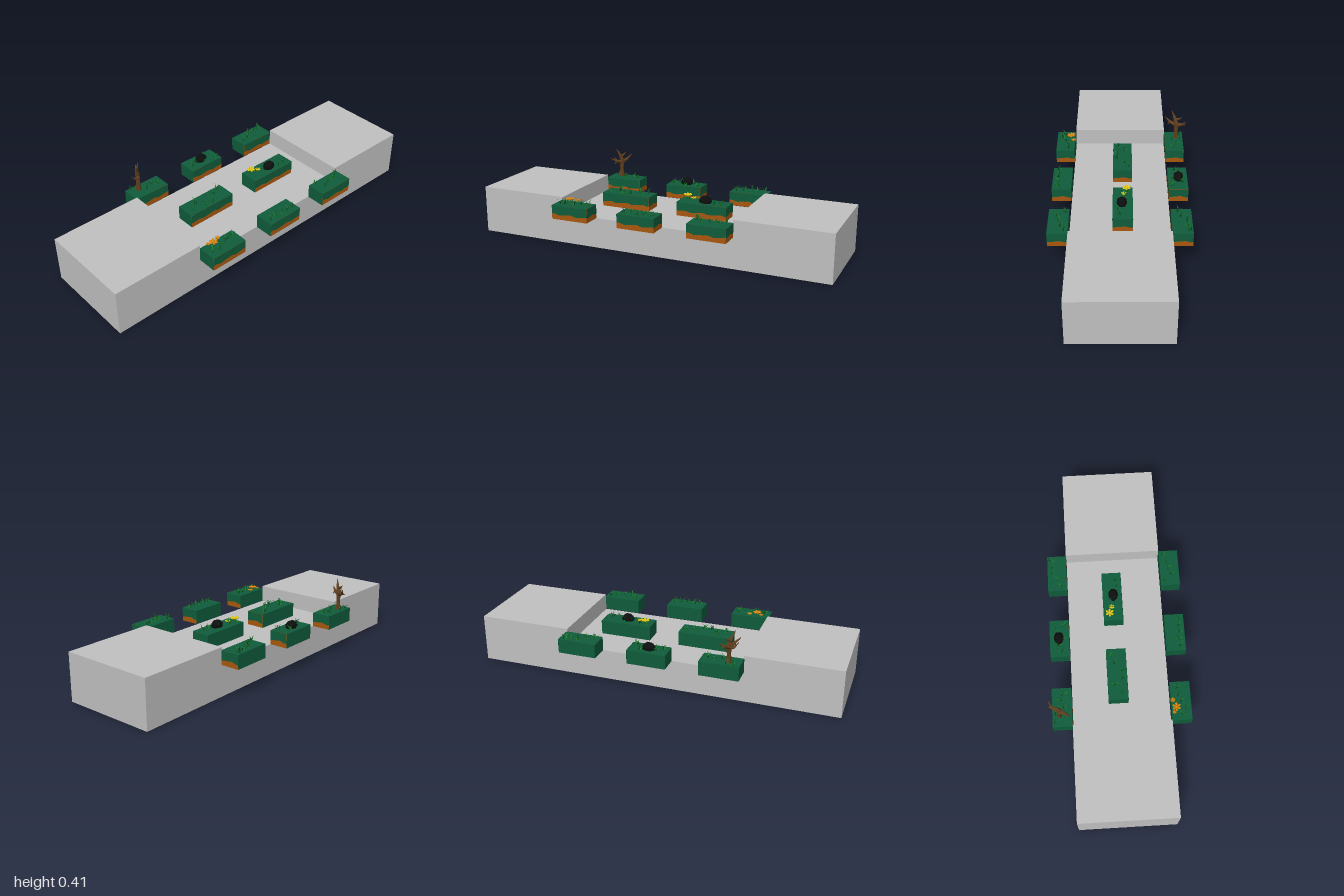
import * as THREE from 'three';
import { mergeGeometries } from 'three/addons/utils/BufferGeometryUtils.js';

const mat = (name, color, extra = {}) => {
  const m = new THREE.MeshStandardMaterial({ color, ...extra });
  m.name = name;
  return m;
};

export function createModel() {
  const grey = mat('stone grey', 0xc0c0c0, { flatShading: true });
  const turf = mat('turf green', 0x0f5c3b, { side: THREE.DoubleSide });
  const earth = mat('earth brown', 0xa8580e);
  const blade = mat('grass green', 0x1d7a2c, { side: THREE.DoubleSide });
  const darkBlade = mat('dark grass green', 0x0d4a24, { side: THREE.DoubleSide });
  const bark = mat('bark brown', 0x5f3f1f, { flatShading: true });
  const coal = mat('rock black', 0x0c0f0e, { flatShading: true });
  const yellow = mat('petal yellow', 0xe0c814, { flatShading: true });
  const orange = mat('petal orange', 0xd8860f, { flatShading: true });

  const model = new THREE.Group();
  const add = (parent, name, geo, material) => {
    const m = new THREE.Mesh(geo, material);
    m.name = name;
    parent.add(m);
    return m;
  };

  let seed = 11;
  const rand = (a = 0, b = 1) => {
    seed = (seed * 16807) % 2147483647;
    return a + (b - a) * (seed / 2147483647);
  };

  // Base: slab with a wide recess across the middle
  const profile = new THREE.Shape([
    [-1, 0], [1, 0], [1, 0.26], [0.487, 0.26], [0.487, 0.167],
    [-0.492, 0.167], [-0.492, 0.26], [-1, 0.26],
  ].map(([x, y]) => new THREE.Vector2(x, y)));
  const base = new THREE.ExtrudeGeometry(profile, { depth: 0.523, bevelEnabled: false });
  base.translate(0, 0, -0.248);
  add(model, 'base', base, grey);

  const H = 0.077;

  // Thin turf plate with a wavy lower edge
  const wavyPlate = (w) => {
    const s = new THREE.Shape();
    s.moveTo(w / 2, H);
    s.lineTo(-w / 2, H);
    for (let i = 0; i <= 16; i++) {
      const x = -w / 2 + (w * i) / 16;
      s.lineTo(x, 0.028 + 0.0035 * Math.cos(x * 62) + 0.0015 * Math.sin(x * 125));
    }
    s.closePath();
    return new THREE.ShapeGeometry(s);
  };

  // One curved, tapering grass blade rooted at (x, z)
  const grassBlade = (x, z, len, lean, turn) => {
    const g = new THREE.PlaneGeometry(1, 1, 2, 4);
    const p = g.attributes.position;
    for (let i = 0; i < p.count; i++) {
      const t = p.getY(i) + 0.5, u = p.getX(i);
      const width = 0.011 * (1 - t) * (0.7 + t);
      p.setXYZ(i, u * width, len * (t - 0.35 * lean * t * t),
        len * lean * t * t - Math.abs(u) * width * 0.5);
    }
    g.rotateY(turn);
    g.translate(x, H - 0.001, z);
    g.computeVertexNormals();
    return g;
  };

  const planter = (name, x, z, w, d) => {
    const group = new THREE.Group();
    group.name = name;
    group.position.set(x, 0.168, z);
    model.add(group);

    // Earth shows on the front and one end, turf everywhere else
    const box = new THREE.BoxGeometry(w, H, d);
    box.translate(0, H / 2, 0);
    add(group, 'soilBlock', box, [earth, turf, turf, turf, earth, turf]);
    add(group, 'frontTurf', wavyPlate(w), turf).position.z = d / 2 + 0.001;
    const side = add(group, 'endTurf', wavyPlate(d), turf);
    side.rotation.y = Math.PI / 2;
    side.position.x = w / 2 + 0.001;

    // Grass tufts spread along the block
    const light = [], dark = [];
    const tufts = Math.round(w / 0.045);
    for (let t = 0; t < tufts; t++) {
      const tx = (-0.5 + (t + 0.5) / tufts) * w * 0.9;
      const tz = rand(-0.32, 0.32) * d;
      for (let k = 0; k < 5; k++) {
        const list = k % 2 ? dark : light;
        list.push(grassBlade(tx + rand(-0.007, 0.007), tz + rand(-0.007, 0.007),
          rand(0.022, 0.042), rand(0.2, 0.9), (k / 5) * Math.PI * 2 + rand(0, 1)));
      }
    }
    add(group, 'grass', mergeGeometries(light), blade);
    add(group, 'darkGrass', mergeGeometries(dark), darkBlade);
    return group;
  };

  // Layout: three blocks on each long side, two in the recess
  const xs = [-0.39, -0.003, 0.385];
  const names = ['One', 'Two', 'Three'];
  const back = xs.map((x, i) => planter('backPlanter' + names[i], x, -0.301, 0.21, 0.105));
  const front = xs.map((x, i) => planter('frontPlanter' + names[i], x, 0.329, 0.21, 0.105));
  planter('middlePlanterOne', -0.222, 0, 0.284, 0.106);
  const middle = planter('middlePlanterTwo', 0.228, 0, 0.284, 0.106);

  // Faceted rocks
  const rock = (parent, x, z) => {
    const g = new THREE.IcosahedronGeometry(1, 1);
    const p = g.attributes.position;
    for (let i = 0; i < p.count; i++) {
      const a = p.getX(i), b = p.getY(i), c = p.getZ(i);
      const k = 0.96 + 0.08 * Math.sin(5 * a + 3 * b) * Math.cos(4 * c);
      p.setXYZ(i, a * k * 0.037, b * k * 0.032, c * k * 0.028);
    }
    g.computeVertexNormals();
    add(parent, 'rock', g, coal).position.set(x, H + 0.009, z);
  };
  rock(back[1], 0, -0.003);
  rock(middle, 0.007, 0.005);

  // Flower: ring of flattened petals around a bud, on a stem
  const flower = (parent, x, z, r, h, material) => {
    const parts = [new THREE.SphereGeometry(r * 0.35, 8, 6)];
    for (let i = 0; i < 6; i++) {
      const petal = new THREE.SphereGeometry(1, 6, 5);
      petal.scale(r * 0.4, r * 0.18, r * 0.28);
      petal.rotateZ(0.3);
      petal.translate(r * 0.6, r * 0.1, 0);
      petal.rotateY((i * Math.PI) / 3);
      parts.push(petal);
    }
    add(parent, 'flower', mergeGeometries(parts), material).position.set(x, H + h, z);
    const stem = new THREE.CylinderGeometry(0.002, 0.003, h, 5);
    add(parent, 'stem', stem, blade).position.set(x, H + h / 2, z);
  };
  flower(middle, -0.105, -0.02, 0.025, 0.023, yellow);
  flower(middle, -0.066, -0.006, 0.016, 0.014, yellow);
  flower(front[0], -0.037, -0.028, 0.025, 0.018, orange);
  flower(front[0], 0.003, -0.044, 0.015, 0.012, orange);
  flower(front[0], -0.062, -0.04, 0.012, 0.012, orange);

  // Bare tree: tapered limbs between points (x, y, z, radius)
  const tree = new THREE.Group();
  tree.name = 'bareTree';
  tree.position.set(-0.432, 0, -0.315);
  model.add(tree);
  const limb = (name, ...pts) => {
    for (let i = 1; i < pts.length; i++) {
      const a = new THREE.Vector3(...pts[i - 1]), b = new THREE.Vector3(...pts[i]);
      const dir = b.clone().sub(a);
      const g = new THREE.CylinderGeometry(pts[i][3], pts[i - 1][3], dir.length() + 0.002, 6);
      const m = add(tree, name, g, bark);
      m.position.copy(a).add(b).multiplyScalar(0.5);
      m.quaternion.setFromUnitVectors(new THREE.Vector3(0, 1, 0), dir.normalize());
    }
  };
  limb('trunk', [0, 0.24, 0, 0.015], [0, 0.29, 0, 0.011], [0.002, 0.345, 0, 0.013]);
  limb('topBranch', [0.002, 0.34, 0, 0.013], [-0.006, 0.375, 0.01, 0.009], [-0.022, 0.412, 0.026, 0.0015]);
  limb('frontBranch', [0, 0.33, 0, 0.012], [-0.018, 0.342, 0.035, 0.008], [-0.042, 0.362, 0.063, 0.0015]);
  limb('backBranch', [0, 0.33, 0, 0.012], [0.018, 0.345, -0.034, 0.008], [0.042, 0.374, -0.05, 0.0015]);
  limb('backTwig', [0.018, 0.345, -0.034, 0.007], [0.02, 0.343, -0.052, 0.0015]);
  limb('upperTwig', [-0.004, 0.365, 0.004, 0.008], [0.006, 0.375, -0.016, 0.005], [0.012, 0.388, -0.03, 0.0015]);
  limb('sideTwig', [0, 0.32, 0, 0.009], [-0.025, 0.332, 0.006, 0.006], [-0.045, 0.358, 0.012, 0.0015]);
  limb('lowerTwig', [-0.018, 0.342, 0.035, 0.007], [-0.02, 0.325, 0.048, 0.0015]);

  return model;
}
